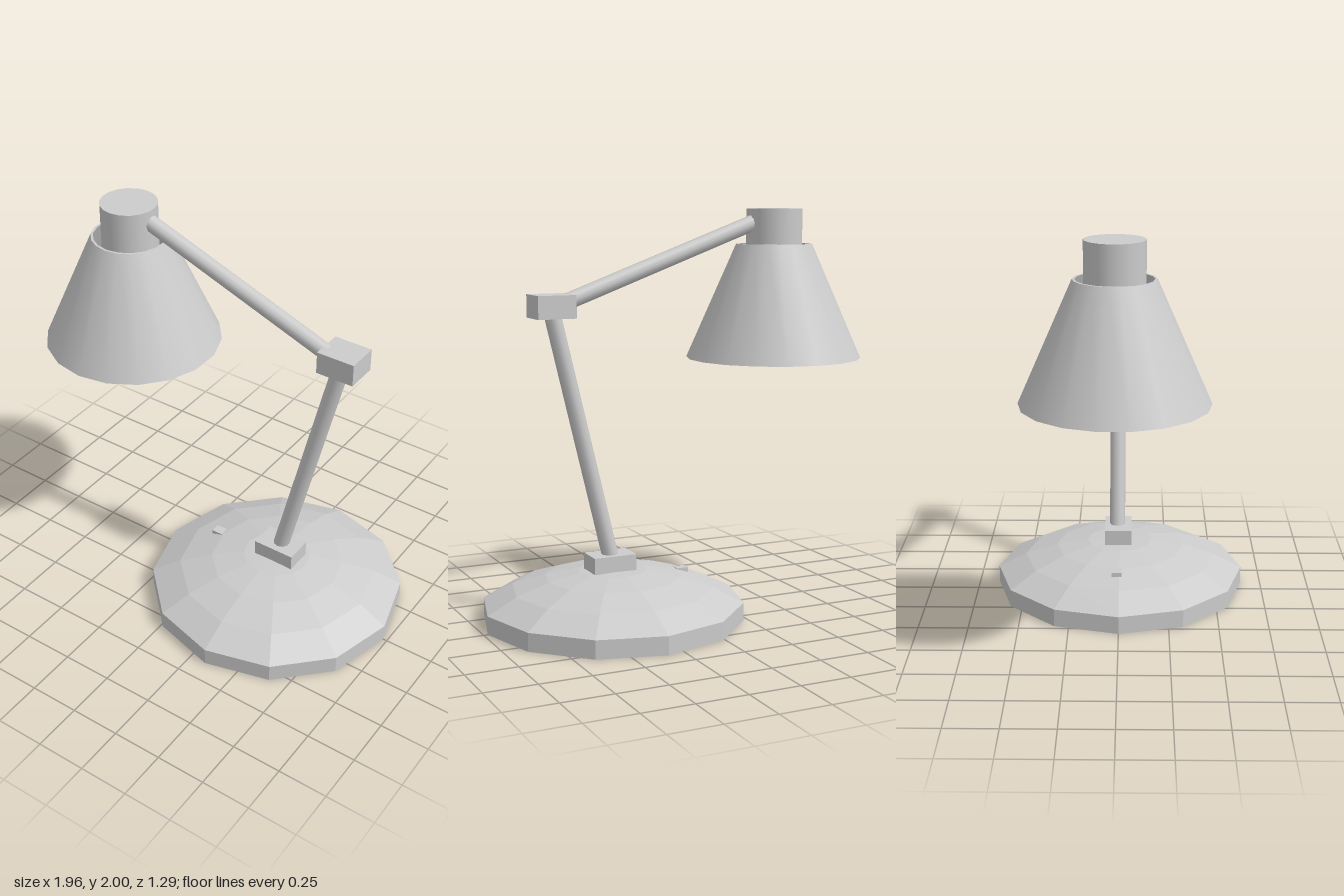
import * as THREE from 'three';
import { toCreasedNormals } from 'three/addons/utils/BufferGeometryUtils.js';

const smooth = new THREE.MeshStandardMaterial({ color: 0xcccccc });
const faceted = new THREE.MeshStandardMaterial({ color: 0xcccccc, flatShading: true });
const ARM_Z = -0.012;

export function createModel() {
  const lamp = new THREE.Group();
  lamp.name = 'deskLamp';

  const add = (name, geometry, material, x, y, z) => {
    const mesh = new THREE.Mesh(geometry, material);
    mesh.name = name;
    mesh.position.set(x, y, z);
    lamp.add(mesh);
    return mesh;
  };
  const box = (name, w, h, d, x, y, z) =>
    add(name, new THREE.BoxGeometry(w, h, d), faceted, x, y, z);
  const profile = (points) => points.map(([r, y]) => new THREE.Vector2(r, y));

  // Round rod between two points in the plane of the arm
  const rod = (name, x0, y0, x1, y1) => {
    const dir = new THREE.Vector2(x1 - x0, y1 - y0);
    const mesh = add(name, new THREE.CylinderGeometry(0.04, 0.04, dir.length(), 10),
      smooth, (x0 + x1) / 2, (y0 + y1) / 2, ARM_Z);
    mesh.rotation.z = dir.angle() - Math.PI / 2;
  };

  // Twelve-sided base with a shallow dome
  add('base', new THREE.LatheGeometry(profile([
    [0, 0], [0.645, 0], [0.645, 0.09], [0.5, 0.165], [0.335, 0.218], [0.17, 0.248], [0, 0.255],
  ]), 12), faceted, 0.335, 0, 0);

  // Switch set into the dome, and the foot of the arm
  box('switch', 0.06, 0.05, 0.05, -0.03, 0.195, -0.012);
  box('armFoot', 0.22, 0.09, 0.14, 0.35, 0.285, -0.008);

  // Two-part arm with its elbow block
  rod('lowerArm', 0.345, 0.29, 0.645, 1.54);
  box('elbow', 0.19, 0.11, 0.16, 0.645, 1.55, -0.022);
  rod('upperArm', -0.45, 1.938, 0.6, 1.555);

  // Lamp holder
  add('lampHolder', new THREE.CylinderGeometry(0.14, 0.14, 0.25, 18), smooth, -0.55, 1.875, ARM_Z);

  // Thin-walled conical shade, open at both ends
  const shade = new THREE.LatheGeometry(profile([
    [0.428, 1.255], [0.44, 1.255], [0.19, 1.825], [0.178, 1.825], [0.428, 1.255],
  ]), 18);
  add('shade', toCreasedNormals(shade, 0.6), smooth, -0.55, 0, ARM_Z);

  return lamp;
}
